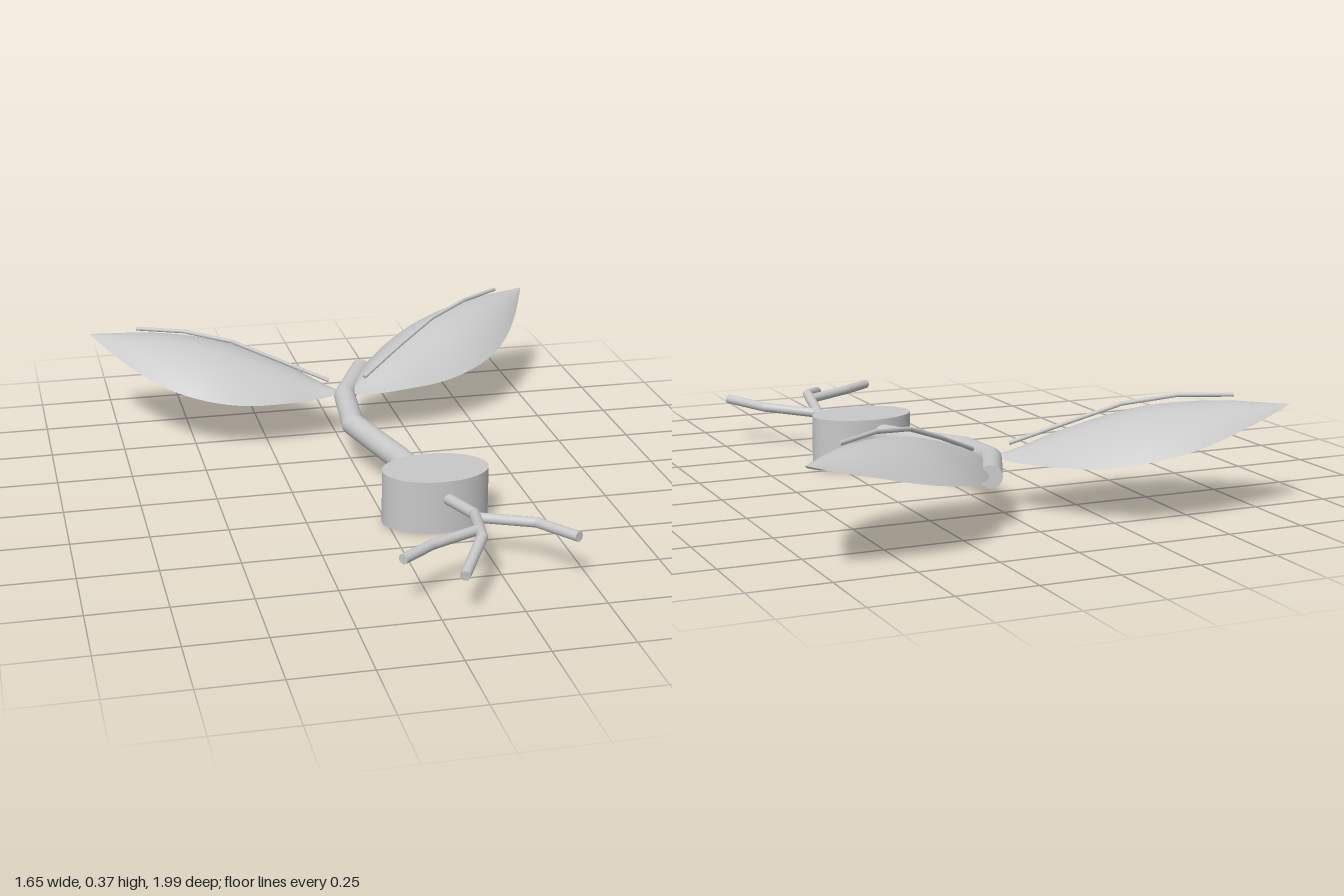
import * as THREE from 'three';

const grey = new THREE.MeshStandardMaterial({ color: 0xc8c8c8 });
grey.name = 'plain grey';
grey.side = THREE.DoubleSide;

const V = (p) => new THREE.Vector3(...p);

function addMesh(parent, name, geometry) {
  const mesh = new THREE.Mesh(geometry, grey);
  mesh.name = name;
  parent.add(mesh);
  return mesh;
}

// Round rod along a bent path, tapering from r0 to r1, with rounded joints
function rod(name, points, r0, r1 = r0, sides = 20) {
  const group = new THREE.Group();
  group.name = name;
  const n = points.length - 1;
  const radius = (i) => r0 + (r1 - r0) * i / n;
  for (let i = 0; i < n; i++) {
    const a = V(points[i]), b = V(points[i + 1]);
    const dir = b.clone().sub(a);
    const part = addMesh(group, name + 'Segment',
      new THREE.CylinderGeometry(radius(i + 1), radius(i), dir.length(), sides));
    part.position.copy(a).add(b).multiplyScalar(0.5);
    part.quaternion.setFromUnitVectors(new THREE.Vector3(0, 1, 0), dir.normalize());
    if (i > 0) {
      addMesh(group, name + 'Joint', new THREE.SphereGeometry(radius(i), sides, 12)).position.copy(a);
    }
  }
  return group;
}

// Arched leaf blade: pointed at both ends, edges drooping from a rising midline
function leafBlade(base, tip, halfWidth) {
  const midHeights = new THREE.SplineCurve(
    [[0, 0.17], [0.25, 0.252], [0.5, 0.318], [0.75, 0.339], [1, 0.33]].map((p) => new THREE.Vector2(...p)));
  const axis = new THREE.Vector2(tip[0] - base[0], tip[1] - base[1]);
  const side = new THREE.Vector2(axis.y, -axis.x).normalize();
  const geo = new THREE.PlaneGeometry(1, 1, 24, 40);
  const pos = geo.attributes.position;
  for (let i = 0; i < pos.count; i++) {
    const s = pos.getX(i) * 2, u = 0.5 - pos.getY(i);
    const swell = Math.max(0, Math.sin(Math.PI * u));
    const w = s * halfWidth * swell;
    const y = midHeights.getPoint(u).y - 0.12 * swell * s * s;
    pos.setXYZ(i, base[0] + axis.x * u + side.x * w, y, base[1] + axis.y * u + side.y * w);
  }
  // Turn the faces so that they look upward
  const idx = geo.index;
  const p = [0, 1, 2].map((k) => new THREE.Vector3().fromBufferAttribute(pos, idx.getX(12 * 6 + 20 * 24 * 6 + k)));
  if (p[1].sub(p[0]).cross(p[2].sub(p[0])).y < 0) {
    for (let i = 0; i < idx.count; i += 3) {
      const t = idx.getX(i);
      idx.setX(i, idx.getX(i + 2));
      idx.setX(i + 2, t);
    }
  }
  geo.computeVertexNormals();
  return geo;
}

export function createModel() {
  const model = new THREE.Group();
  model.name = 'sprout';

  // Oval seed block standing on the ground
  const seed = addMesh(model, 'seed', new THREE.CylinderGeometry(1, 1, 0.175, 64));
  seed.scale.set(0.172, 1, 0.12);
  seed.position.set(0.157, 0.0875, 0.303);

  // Bent stem behind the seed
  model.add(rod('stem', [
    [0.145, 0.11, 0.27], [0.09, 0.122, 0.06], [0, 0.142, -0.21],
    [0.02, 0.16, -0.44], [0.132, 0.166, -0.685],
  ], 0.042, 0.035, 28));

  // Two leaves, each with a raised vein above its midline
  const leaves = [
    { name: 'right', base: [0.02, -0.445], tip: [-0.83, -0.8], width: 0.235, from: 0.06, to: 0.81,
      heights: [0.21, 0.272, 0.333, 0.36, 0.36] },
    { name: 'left', base: [0.02, -0.425], tip: [0.825, -1], width: 0.205, from: 0.1, to: 0.835,
      heights: [0.207, 0.275, 0.335, 0.36, 0.36] },
  ];
  for (const leaf of leaves) {
    addMesh(model, leaf.name + 'Leaf', leafBlade(leaf.base, leaf.tip, leaf.width));
    const vein = leaf.heights.map((y, i) => {
      const u = leaf.from + (leaf.to - leaf.from) * i / (leaf.heights.length - 1);
      return [0, 1].map((k) => leaf.base[k] + (leaf.tip[k] - leaf.base[k]) * u).toSpliced(1, 0, y);
    });
    model.add(rod(leaf.name + 'Vein', vein, 0.007, 0.007, 10));
  }

  // Forked root in front of the seed
  model.add(rod('mainRoot', [
    [0.15, 0.108, 0.34], [0.213, 0.125, 0.57], [0.172, 0.155, 0.8], [0.07, 0.125, 0.985],
  ], 0.019, 0.016));
  model.add(rod('rightRoot', [[0.182, 0.15, 0.735], [0.015, 0.155, 0.82], [-0.092, 0.155, 0.9]], 0.016));
  model.add(rod('leftRoot', [[0.208, 0.125, 0.595], [0.37, 0.14, 0.703], [0.455, 0.15, 0.85]], 0.016));

  return model;
}
